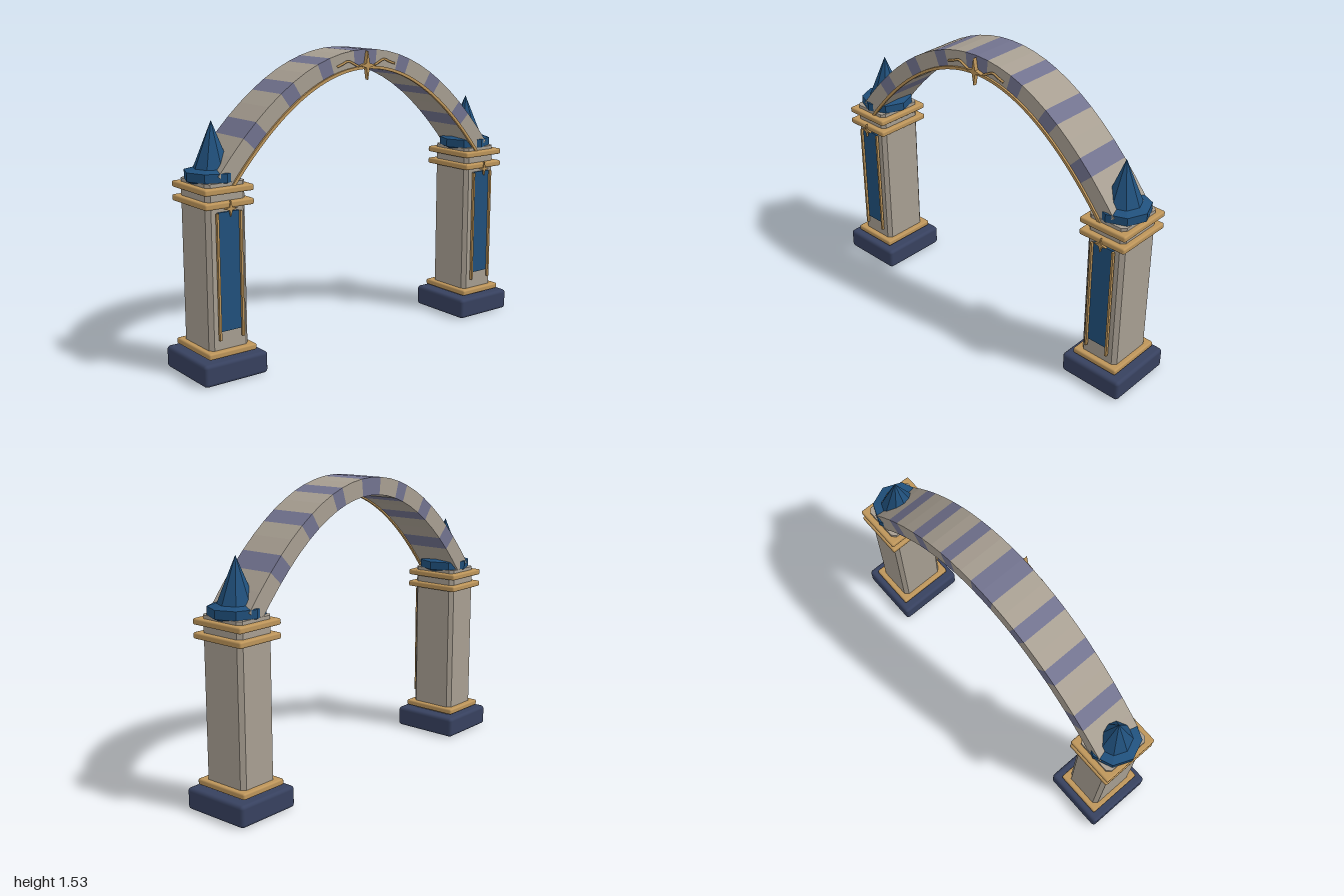
import * as THREE from 'three';
import { RoundedBoxGeometry } from 'three/addons/geometries/RoundedBoxGeometry.js';

const mat = (name, color) => Object.assign(new THREE.MeshStandardMaterial({ color }), { name });

export function createModel() {
  const stone = mat('warm stone', 0xa89f92);
  const slate = mat('violet stone', 0x72738f);
  const gold = mat('gold', 0xbd955a);
  const blue = mat('roof blue', 0x20507c);
  const navy = mat('plinth navy', 0x37415f);

  const model = new THREE.Group();
  model.name = 'archway';

  const add = (parent, name, geometry, material, x = 0, y = 0, z = 0) => {
    const mesh = new THREE.Mesh(geometry, material);
    mesh.name = name;
    mesh.position.set(x, y, z);
    parent.add(mesh);
    return mesh;
  };
  const shapeOf = (pts) => new THREE.Shape(pts.map(([x, y]) => new THREE.Vector2(x, y)));
  const extrude = (pts, depth) =>
    new THREE.ExtrudeGeometry(shapeOf(pts), { depth, bevelEnabled: false });
  const faceted = (geometry) => {
    const flat = geometry.toNonIndexed();
    flat.computeVertexNormals();
    return flat;
  };
  // Four-pointed star plate
  const star = (w, h, depth) => {
    const k = 0.2 * w;
    return extrude([[0, h], [k, k], [w, 0], [k, -k], [0, -h], [-k, -k], [-w, 0], [-k, k]], depth);
  };

  // Chamfered rectangular column, standing on y = 0
  const column = (w, d, h, c) => {
    const x = w / 2, z = d / 2;
    const g = extrude([[-x + c, -z], [x - c, -z], [x, -z + c], [x, z - c],
      [x - c, z], [-x + c, z], [-x, z - c], [-x, -z + c]], h);
    return g.rotateX(-Math.PI / 2);
  };

  // Towers
  for (const side of [-1, 1]) {
    const tower = new THREE.Group();
    tower.name = side > 0 ? 'leftTower' : 'rightTower';
    tower.position.x = side * 0.824;
    model.add(tower);

    add(tower, 'plinth', new RoundedBoxGeometry(0.352, 0.11, 0.378, 2, 0.018), navy, 0, 0.058);
    add(tower, 'shaft', column(0.215, 0.258, 0.85, 0.02), stone, 0, 0.108);
    for (const y of [0.138, 0.858, 0.925]) {
      add(tower, 'goldBand', new RoundedBoxGeometry(0.265, 0.031, 0.316, 2, 0.009), gold, 0, y);
    }

    // Eight-sided spire with a flared collar
    const collar = [[0, 0.946], [0.113, 0.946], [0.137, 0.957], [0.137, 1.0], [0.092, 1.012]];
    const cone = [[0.096, 1.0], [0, 1.235]];
    const lathe = (pts) => faceted(
      new THREE.LatheGeometry(pts.map(([r, y]) => new THREE.Vector2(r, y)), 8));
    add(tower, 'spireCollar', lathe(collar), blue);
    add(tower, 'spireCone', lathe(cone), blue);

    // Hanging banner on the front face
    add(tower, 'banner', new THREE.BoxGeometry(0.116, 0.578, 0.009), blue, 0, 0.533, 0.1335);
    for (const s of [-1, 1]) {
      add(tower, 'bannerRod', new THREE.BoxGeometry(0.011, 0.615, 0.014), gold, s * 0.063, 0.513, 0.144);
    }
    add(tower, 'bannerStar', star(0.036, 0.038, 0.012), gold, 0, 0.84, 0.153);
  }

  // Point on the parabolic arch, pushed outward along its normal
  const HALF = 0.83, RISE = 0.53;
  const archPoint = (x, offset) => {
    const slope = (-2 * RISE * x) / (HALF * HALF);
    const len = Math.hypot(1, slope);
    const y = 1.49 - RISE * (x / HALF) ** 2;
    return [x - (offset * slope) / len, y + offset / len];
  };

  // Arch stones
  const arch = new THREE.Group();
  arch.name = 'arch';
  model.add(arch);
  const COUNT = 24;
  const at = (i) => -HALF + (2 * HALF * i) / COUNT;
  for (let i = 0; i < COUNT; i++) {
    const a = at(i), b = at(i + 1);
    const fromEnd = Math.min(i, COUNT - 1 - i);
    const block = extrude([archPoint(a, -0.045), archPoint(b, -0.045),
      archPoint(b, 0.045), archPoint(a, 0.045)], 0.252);
    add(arch, 'archStone', block, fromEnd % 3 === 2 ? slate : stone, 0, 0, -0.126);
  }

  // Gold trim along the lower front edge
  const lower = [], upper = [];
  for (let i = 0; i <= 48; i++) {
    const x = -HALF + (2 * HALF * i) / 48;
    lower.push(archPoint(x, -0.053));
    upper.unshift(archPoint(x, -0.038));
  }
  add(arch, 'archTrim', extrude([...lower, ...upper], 0.014), gold, 0, 0, 0.123);

  // Keystone star and the small scrolls beside it
  add(arch, 'keystoneStar', star(0.052, 0.072, 0.022), gold, 0, 1.455, 0.128);
  for (const s of [-1, 1]) {
    const path = new THREE.CatmullRomCurve3([[0.05, 1.452], [0.075, 1.464], [0.115, 1.48],
      [0.15, 1.467], [0.185, 1.455]].map(([x, y]) => new THREE.Vector3(s * x, y, 0.134)));
    add(arch, 'keystoneScroll', new THREE.TubeGeometry(path, 16, 0.006, 6), gold);
  }

  return model;
}
